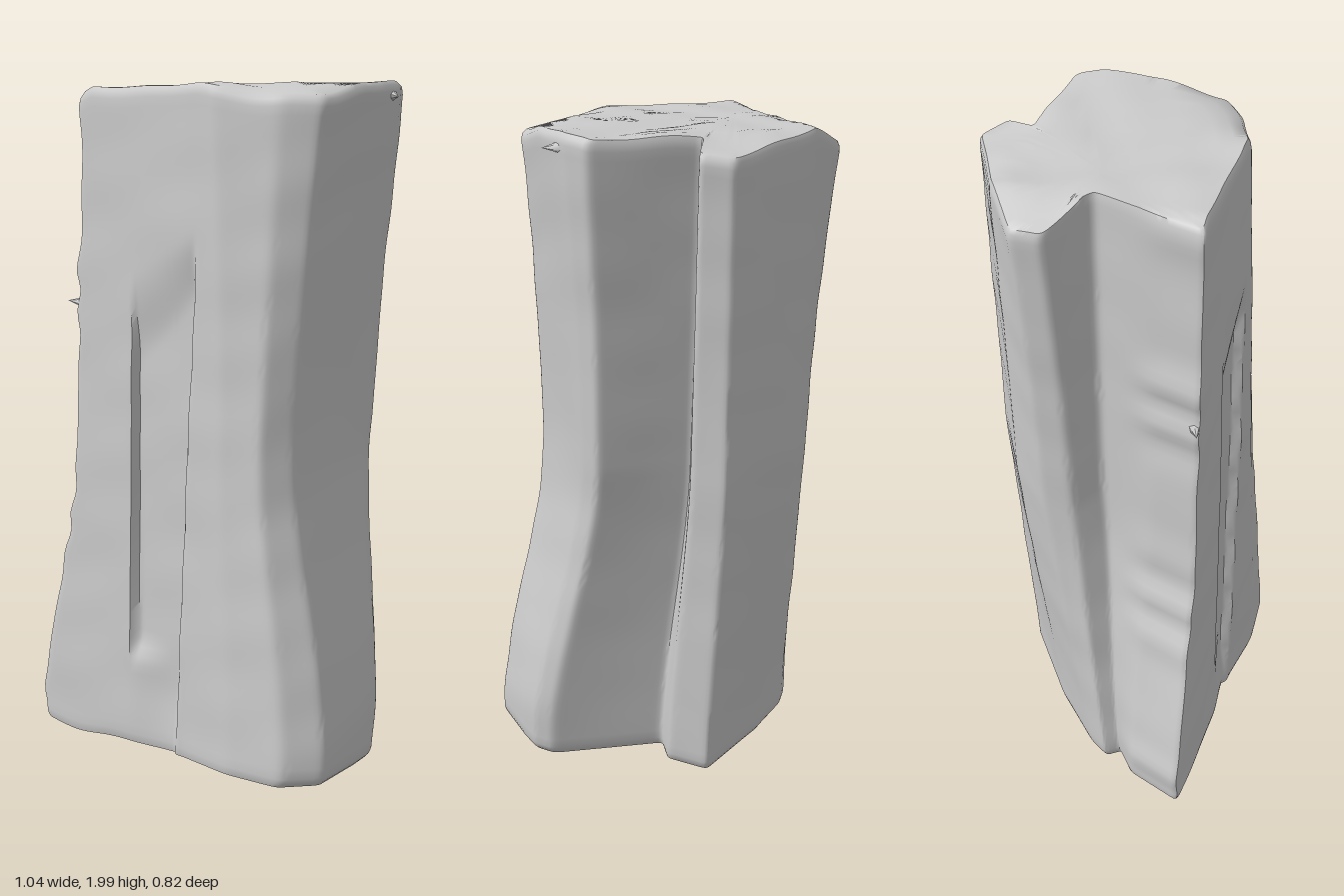
import * as THREE from 'three';
import { toCreasedNormals } from 'three/addons/utils/BufferGeometryUtils.js';

// Outline corners [x, z] at the foot, waist and top, counter-clockwise from the front left
const FOOT = [[-0.53, 0.38], [-0.13, 0.39], [0.06, 0.39], [0.25, 0.415], [0.43, 0.4], [0.517, 0.31], [0.51, 0.12], [0.5, 0.04],
  [0.46, -0.01], [0.11, -0.08], [0.13, -0.18], [0.04, -0.29], [-0.21, -0.11], [-0.36, 0.04], [-0.4, 0.1], [-0.37, 0.14], [-0.45, 0.2]];
const WAIST = [[-0.365, 0.37], [-0.13, 0.375], [0.06, 0.375], [0.2, 0.378], [0.32, 0.35], [0.372, 0.26], [0.37, 0], [0.37, -0.11],
  [0.345, -0.175], [0.05, -0.18], [0.1, -0.29], [0.02, -0.37], [-0.27, -0.215], [-0.365, -0.1], [-0.365, -0.01], [-0.28, 0.06], [-0.33, 0.22]];
const TOP = [[-0.345, 0.355], [-0.13, 0.35], [0.06, 0.35], [0.15, 0.345], [0.33, 0.275], [0.43, 0.205], [0.437, -0.08], [0.43, -0.18],
  [0.39, -0.255], [0.05, -0.26], [0.105, -0.36], [0.02, -0.41], [-0.3, -0.25], [-0.43, -0.15], [-0.43, -0.06], [-0.275, 0.03], [-0.31, 0.2]];
// Middle of the end faces
const FOOT_CENTRE = [-0.05, 0.2], TOP_CENTRE = [-0.16, 0.02];

const mix = THREE.MathUtils.lerp;
const step = THREE.MathUtils.smoothstep;

// Shallow channel down the front, with a slanting right edge
function channel(x, z, y) {
  if (z < 0.25) return 0;
  const right = 0.03 + 0.045 * y;
  const leftEdge = mix(step(x, -0.16, 0.03), step(x, -0.142, -0.129), step(y, 0.25, 0.34));
  const depth = 0.03 * mix(0.5, 1, step(y, 0, 0.2));
  return depth * leftEdge * (1 - step(x, right - 0.014, right + 0.006)) * (1 - step(y, 1.3 + x, 1.53 + x * 0.5));
}

// Outline at height y, finely divided, with softened corners and an uneven surface
function outline(y) {
  const u = Math.abs(y - 1);
  const kx = y < 1 ? step(u, 0, 0.95) : u ** 1.6;
  const end = y < 1 ? FOOT : TOP;
  const keys = WAIST.map((p, i) => [mix(p[0], end[i][0], kx), mix(p[1], end[i][1], u)]);
  let ring = [];
  keys.forEach((a, i) => {
    const j = (i + 1) % keys.length, b = keys[j];
    const n = Math.ceil(Math.hypot(WAIST[j][0] - WAIST[i][0], WAIST[j][1] - WAIST[i][1]) / 0.011);
    for (let s = 0; s < n; s++) ring.push([mix(a[0], b[0], s / n), mix(a[1], b[1], s / n)]);
  });
  for (let pass = 0; pass < 2; pass++) {
    const m = ring.length;
    ring = ring.map((p, i) => [0, 1].map(c => (ring[(i + m - 1) % m][c] + 2 * p[c] + ring[(i + 1) % m][c]) / 4));
  }
  return ring.map(([x, z]) => {
    const w = 1 + 0.004 * Math.sin(y * 11 + x * 4) * Math.sin(z * 9 + x * 7 + 1)
      + 0.003 * Math.sin(y * 27 + z * 6) * Math.sin(x * 10 - y * 3);
    // ragged left flank
    const ragged = 0.007 * step(-x, 0.26, 0.34) * step(z, 0.1, 0.25) * Math.sin(y * 23 + 3 * Math.sin(y * 9));
    return [x * w + ragged, z * w - channel(x, z, y)];
  });
}

// Slightly uneven, sloping end faces
const topHeight = (x, z) => 1.98 - 0.45 * Math.max(0, -x - 0.3) - 0.28 * Math.max(0, -z - 0.23)
  - 0.035 * step(x + z, 0.42, 0.6) + 0.02 * x + 0.005 * Math.sin(x * 21 + z * 6) * Math.sin(z * 17 - x * 5);
const footHeight = x => 0.022 - 0.02 * Math.exp(-(((x + 0.38) / 0.12) ** 2));

function bodyGeometry() {
  const pos = [], index = [];
  // [height fraction, inset towards the centre]: end face, rounded rim, sides, rim, end face
  const insets = [0, 0.2, 0.4, 0.6, 0.75, 0.87, 0.97];
  const levels = insets.map(s => [0, s]);
  levels.push([0.006, 0.99]);
  for (let i = 0; i <= 70; i++) levels.push([0.014 + 0.97 * i / 70, 1]);
  levels.push([0.994, 0.992]);
  for (const s of insets.slice().reverse()) levels.push([1, s]);

  let count = 0;
  for (const [t, inset] of levels) {
    const ring = outline(t * 2);
    const [cx, cz] = t < 0.5 ? FOOT_CENTRE : TOP_CENTRE;
    count = ring.length;
    for (const [x0, z0] of ring) {
      const x = mix(cx, x0, inset), z = mix(cz, z0, inset);
      pos.push(x, mix(footHeight(x), topHeight(x, z), t), z);
    }
  }
  for (let r = 0; r < levels.length - 1; r++) {
    for (let i = 0; i < count; i++) {
      const a = r * count + i, b = r * count + (i + 1) % count;
      index.push(a, b, b + count, a, b + count, a + count);
    }
  }
  const geometry = new THREE.BufferGeometry();
  geometry.setAttribute('position', new THREE.Float32BufferAttribute(pos, 3));
  geometry.setIndex(index);
  return toCreasedNormals(geometry, 0.8);
}

export function createModel() {
  const group = new THREE.Group();
  group.name = 'weatheredBlock';
  const material = new THREE.MeshStandardMaterial({ color: 0xcccccc });

  const body = new THREE.Mesh(bodyGeometry(), material);
  body.name = 'body';
  group.add(body);

  // small splinters sticking out of the edges
  const splinter = (name, x, y, z, dir) => {
    const mesh = new THREE.Mesh(new THREE.ConeGeometry(0.025, 0.08, 6), material);
    mesh.name = name;
    mesh.position.set(x, y, z);
    mesh.quaternion.setFromUnitVectors(new THREE.Vector3(0, 1, 0), new THREE.Vector3(...dir).normalize());
    group.add(mesh);
  };
  splinter('sideSplinter', -0.36, 1.345, 0.35, [-1, 0.1, 0.4]);
  splinter('topSplinter', 0.43, 1.95, -0.13, [1, -0.1, 0.7]);
  return group;
}
